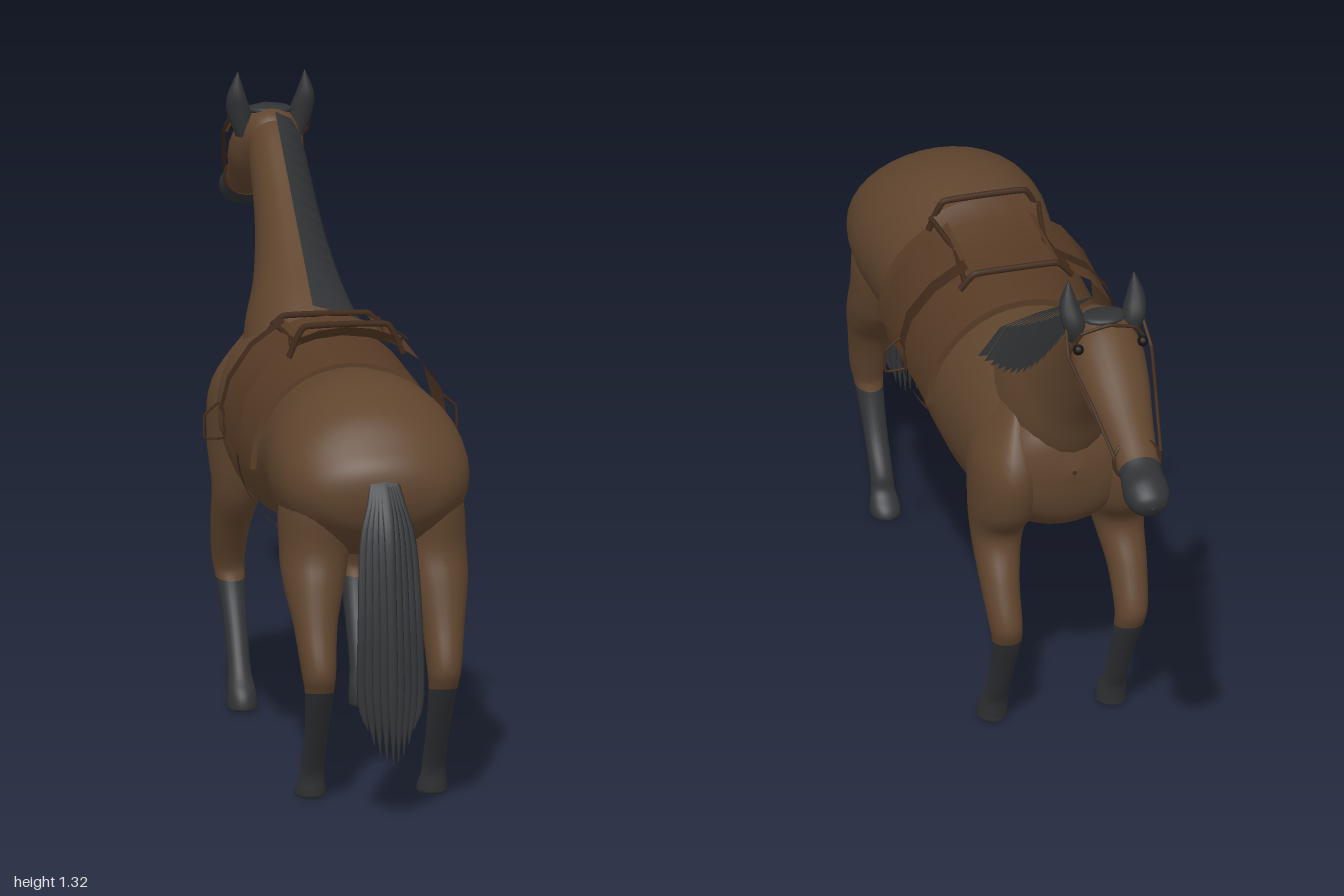
import * as THREE from 'three';
import { toCreasedNormals } from 'three/addons/utils/BufferGeometryUtils.js';

const mat = (name, color, side = THREE.FrontSide) => {
  const m = new THREE.MeshStandardMaterial({ color, side });
  m.name = name;
  return m;
};

export function createModel() {
  const horse = new THREE.Group();
  horse.name = 'saddledHorse';
  const coat = mat('brownCoat', 0x60452e);
  const black = mat('blackHair', 0x303234, THREE.DoubleSide);
  const leather = mat('saddleLeather', 0x583c26, THREE.DoubleSide);
  const strap = mat('darkStrap', 0x402a1b, THREE.DoubleSide);
  const eyeMat = mat('eyeBlack', 0x15120f);

  const add = (name, geo, material) => {
    const mesh = new THREE.Mesh(geo, material);
    mesh.name = name;
    horse.add(mesh);
    return mesh;
  };

  const spline = (a, b, c, d, t) =>
    b + 0.5 * t * (c - a + t * (2 * a - 5 * b + 4 * c - d + t * (3 * (b - c) + d - a)));

  // Smooth oval loft. Section: [y1, z1, y2, z2, halfWidth, centreX]; split starts a second material
  function loft(sections, { n = 24, sub = 5, split = 0, side = 1 } = {}) {
    const pos = [], idx = [], last = sections.length - 1, rings = last * sub;
    const at = (i, k) => sections[Math.min(last, Math.max(0, i))][k] ?? 0;
    for (let r = 0; r <= rings; r++) {
      const i = Math.min(last - 1, Math.floor(r / sub)), t = r / sub - i;
      const [y1, z1, y2, z2, w, cx] = [0, 1, 2, 3, 4, 5].map(k =>
        spline(at(i - 1, k), at(i, k), at(i + 1, k), at(i + 2, k), t));
      for (let j = 0; j < n; j++) {
        const a = j / n * Math.PI * 2, s = Math.sin(a) / 2;
        pos.push(cx * side + Math.max(0, w) * Math.cos(a),
          (y1 + y2) / 2 + (y1 - y2) * s, (z1 + z2) / 2 + (z1 - z2) * s);
      }
    }
    for (let r = 0; r < rings; r++) for (let j = 0; j < n; j++) {
      const a = r * n + j, b = r * n + (j + 1) % n;
      idx.push(a, b, a + n, b, b + n, a + n);
    }
    const g = new THREE.BufferGeometry();
    g.setAttribute('position', new THREE.Float32BufferAttribute(pos, 3));
    g.setIndex(idx);
    if (split) {
      const cut = split * sub * n * 6;
      g.addGroup(0, cut, 0);
      g.addGroup(cut, idx.length - cut, 1);
    }
    g.computeVertexNormals();
    return g;
  }

  // Thin sheet through rows of points
  function sheet(rows) {
    const m = rows[0].length, idx = [];
    for (let i = 0; i < rows.length - 1; i++) for (let j = 0; j < m - 1; j++) {
      const a = i * m + j;
      idx.push(a, a + 1, a + m, a + 1, a + m + 1, a + m);
    }
    const g = new THREE.BufferGeometry();
    g.setAttribute('position', new THREE.Float32BufferAttribute(rows.flat(2), 3));
    g.setIndex(idx);
    g.computeVertexNormals();
    return g;
  }

  const rod = (pts, r, closed = false) => new THREE.TubeGeometry(
    new THREE.CatmullRomCurve3(pts.map(p => new THREE.Vector3(...p)), closed, 'catmullrom', 0.15), 40, r, 6, closed);

  // Torso, chest to rump: [z, top, bottom, halfWidth]
  add('torso', loft([
    [-0.358, 0.7, 0.69, 0.005], [-0.34, 0.78, 0.6, 0.09], [-0.3, 0.82, 0.54, 0.145],
    [-0.2, 0.86, 0.485, 0.182], [-0.05, 0.882, 0.455, 0.198], [0.1, 0.875, 0.46, 0.205],
    [0.25, 0.87, 0.485, 0.203], [0.42, 0.88, 0.52, 0.195], [0.58, 0.905, 0.51, 0.208],
    [0.68, 0.895, 0.52, 0.215], [0.78, 0.855, 0.55, 0.2], [0.85, 0.79, 0.6, 0.15],
    [0.88, 0.75, 0.65, 0.08], [0.89, 0.705, 0.7, 0.002],
  ].map(([z, t, b, w]) => [t, z, b, z, w]), { n: 36 }), coat);

  add('neck', loft([
    [1.215, -0.55, 1.12, -0.62, 0.05], [1.2, -0.5, 1.06, -0.555, 0.055],
    [1.1, -0.36, 0.95, -0.475, 0.062], [1.0, -0.21, 0.84, -0.4, 0.085],
    [0.92, -0.08, 0.74, -0.35, 0.12], [0.82, 0.06, 0.62, -0.27, 0.14],
  ]), coat);

  // Head with dark muzzle
  add('head', loft([
    [0.975, -1, 0.97, -0.998, 0.004], [1.0, -0.992, 0.945, -0.98, 0.035],
    [1.025, -0.96, 0.94, -0.945, 0.05], [1.035, -0.925, 0.955, -0.91, 0.048],
    [1.047, -0.9, 0.975, -0.88, 0.046], [1.08, -0.85, 0.99, -0.83, 0.05],
    [1.125, -0.78, 1.018, -0.77, 0.06], [1.18, -0.7, 1.03, -0.7, 0.074],
    [1.222, -0.63, 1.05, -0.63, 0.08], [1.235, -0.58, 1.09, -0.58, 0.066],
    [1.22, -0.54, 1.13, -0.55, 0.045], [1.19, -0.52, 1.17, -0.53, 0.004],
  ], { split: 4 }), [black, coat]);

  const frontLeg = [
    [0.83, -0.18, 0.82, -0.26, 0.01, 0.1], [0.72, -0.09, 0.7, -0.35, 0.068, 0.12],
    [0.6, -0.11, 0.58, -0.335, 0.074, 0.125], [0.47, -0.15, 0.5, -0.275, 0.056, 0.135],
    [0.38, -0.215, 0.41, -0.31, 0.043, 0.142], [0.3, -0.265, 0.32, -0.345, 0.036, 0.14],
    [0.26, -0.265, 0.27, -0.335, 0.032, 0.136], [0.17, -0.225, 0.18, -0.285, 0.026, 0.133],
    [0.08, -0.175, 0.09, -0.235, 0.025, 0.133], [0.04, -0.14, 0.055, -0.215, 0.03, 0.133],
    [0.012, -0.13, 0.015, -0.205, 0.033, 0.133], [0, -0.135, 0, -0.2, 0.029, 0.133],
    [0, -0.165, 0, -0.17, 0, 0.133],
  ];
  const hindLeg = [
    [0.8, 0.78, 0.79, 0.66, 0.01, 0.1], [0.68, 0.83, 0.66, 0.58, 0.07, 0.122],
    [0.56, 0.825, 0.54, 0.63, 0.075, 0.128], [0.49, 0.842, 0.47, 0.69, 0.066, 0.135],
    [0.4, 0.865, 0.4, 0.755, 0.048, 0.139], [0.31, 0.89, 0.29, 0.8, 0.037, 0.137],
    [0.26, 0.875, 0.25, 0.8, 0.031, 0.135], [0.17, 0.82, 0.16, 0.765, 0.026, 0.133],
    [0.08, 0.765, 0.09, 0.72, 0.025, 0.133], [0.045, 0.748, 0.05, 0.71, 0.027, 0.133],
    [0.015, 0.745, 0.02, 0.68, 0.033, 0.133], [0, 0.74, 0, 0.675, 0.03, 0.133],
    [0, 0.71, 0, 0.7, 0, 0.133],
  ];
  const ear = [
    [1.314, -0.573, 1.314, -0.576, 0.001, 0.073], [1.265, -0.56, 1.265, -0.602, 0.019, 0.075],
    [1.225, -0.563, 1.22, -0.622, 0.026, 0.068], [1.17, -0.57, 1.17, -0.61, 0.02, 0.055],
  ];
  // Saddle flap and stirrup strap rows: [y, x, zFront, zBack]
  const flap = [[0.925, 0.09, 0.12, 0.36], [0.875, 0.165, 0.125, 0.36], [0.81, 0.213, 0.13, 0.355],
    [0.72, 0.232, 0.16, 0.36], [0.675, 0.23, 0.3, 0.33]];
  const stirrupStrap = [[0.93, 0.1, 0.15, 0.19], [0.88, 0.172, 0.155, 0.195],
    [0.81, 0.222, 0.165, 0.205], [0.74, 0.24, 0.17, 0.205]];

  for (const [label, s] of [['left', 1], ['right', -1]]) {
    add(label + 'FrontLeg', loft(frontLeg, { split: 6, side: s }), [coat, black]);
    add(label + 'HindLeg', loft(hindLeg, { split: 6, side: s }), [coat, black]);
    add(label + 'Ear', loft(ear, { n: 12, side: s }), black);
    add(label + 'Eye', new THREE.SphereGeometry(0.012, 12, 8), eyeMat).position.set(s * 0.072, 1.185, -0.652);
    const rows = list => list.map(([y, x, a, b]) => [[x * s, y, a], [x * s, y, b]]);
    add(label + 'SaddleFlap', sheet(rows(flap)), leather);
    add(label + 'StirrupStrap', sheet(rows(stirrupStrap)), strap);
    add(label + 'Stirrup', rod([[0.232, 0.68], [0.275, 0.68], [0.275, 0.73], [0.242, 0.758], [0.232, 0.73]]
      .map(([x, y]) => [x * s, y, 0.185]), 0.003, true), strap);
    add(label + 'SeatRail', rod([[s * 0.12, 0.925, 0.385], [s * 0.1, 0.912, 0.26], [s * 0.115, 0.915, 0.125]], 0.006), strap);
    add(label + 'CheekStrap', rod([[s * 0.052, 1.04, -0.872], [s * 0.072, 1.11, -0.76],
      [s * 0.092, 1.165, -0.65], [s * 0.085, 1.215, -0.6]], 0.004), strap);
  }

  // Forelock between the ears
  const forelock = add('forelock', new THREE.SphereGeometry(1, 16, 10), black);
  forelock.scale.set(0.05, 0.012, 0.035);
  forelock.position.set(0, 1.226, -0.595);

  // Mane: overlapping locks draped over the left of the neck
  const locks = 14;
  const maneRow = (t, extra) => {
    const y = 0.905 + 0.32 * t, z = -0.04 - 0.48 * t, w = 0.128 - 0.07 * t;
    const drop = 0.05 + 0.08 * Math.sin(Math.PI * Math.min(1, t * 0.95 + 0.05)) + extra;
    return [[0, y + 0.008, z], [w * 0.62, y - drop * 0.2, z], [w + extra * 0.4, y - drop, z - 0.01]];
  };
  for (let i = 0; i < locks; i++)
    add('maneLock', sheet([maneRow(i / locks, 0.012), maneRow((i + 1.1) / locks, -0.004)]), black);

  // Tail: a fan of tapering strands
  for (let i = -4; i <= 4; i++) {
    const u = i / 4, k = Math.abs(u), tip = 0.125 + 0.07 * u * u;
    add('tailStrand', loft([
      [0.735, 0.875, 0.01, 0.02], [0.68, 0.915 - 0.01 * k, 0.012, 0.03],
      [0.6, 0.952 - 0.025 * k, 0.012, 0.05], [0.43, 0.98 - 0.025 * k, 0.011, 0.06],
      [0.26, 0.992 - 0.03 * k, 0.011, 0.062], [tip, 0.995 - 0.03 * k, 0.001, 0.05],
    ].map(([y, z, w, x]) => [y, z + 0.004, y, z - 0.004, w, x * u]), { n: 8, sub: 4 }), black);
  }

  // Saddle blanket
  const arch = new THREE.Shape();
  arch.absellipse(0, 0, 0.22, 0.227, 0, Math.PI, false);
  arch.absellipse(0, 0, 0.207, 0.21, Math.PI, 0, true);
  const blanket = new THREE.ExtrudeGeometry(arch, { depth: 0.4, bevelEnabled: false, curveSegments: 24 });
  add('saddleBlanket', toCreasedNormals(blanket, 0.6), leather).position.set(0, 0.666, 0.05);

  // Dished seat with raised front and back
  add('saddleSeat', sheet([[0.385, 0.958], [0.34, 0.93], [0.25, 0.915], [0.125, 0.928]].map(([z, y]) =>
    [-1, -0.5, 0, 0.5, 1].map(u => [u * 0.115, y - 0.025 * u * u, z]))), leather);
  for (const [name, z, top] of [['cantle', 0.385, 0.962], ['pommel', 0.125, 0.93]])
    add(name, rod([[-0.125, 0.895, z], [-0.09, top, z], [0.09, top, z], [0.125, 0.895, z]], 0.007), strap);

  // Girth under the belly
  add('girth', sheet(Array.from({ length: 25 }, (_, i) => {
    const a = Math.PI * (1 + i / 24);
    return [0.245, 0.275].map(z => [0.216 * Math.cos(a), 0.67 + 0.215 * Math.sin(a), z]);
  })), strap);

  // Bridle bands
  const ring = add('noseband', new THREE.TorusGeometry(1, 0.07, 6, 32), strap);
  ring.scale.set(0.052, 0.047, 0.06);
  ring.position.set(0, 1.022, -0.868);
  ring.rotation.x = 0.25;
  add('browband', rod([[-0.088, 1.17, -0.635], [-0.06, 1.215, -0.64], [0, 1.228, -0.64],
    [0.06, 1.215, -0.64], [0.088, 1.17, -0.635]], 0.004), strap);

  return horse;
}
